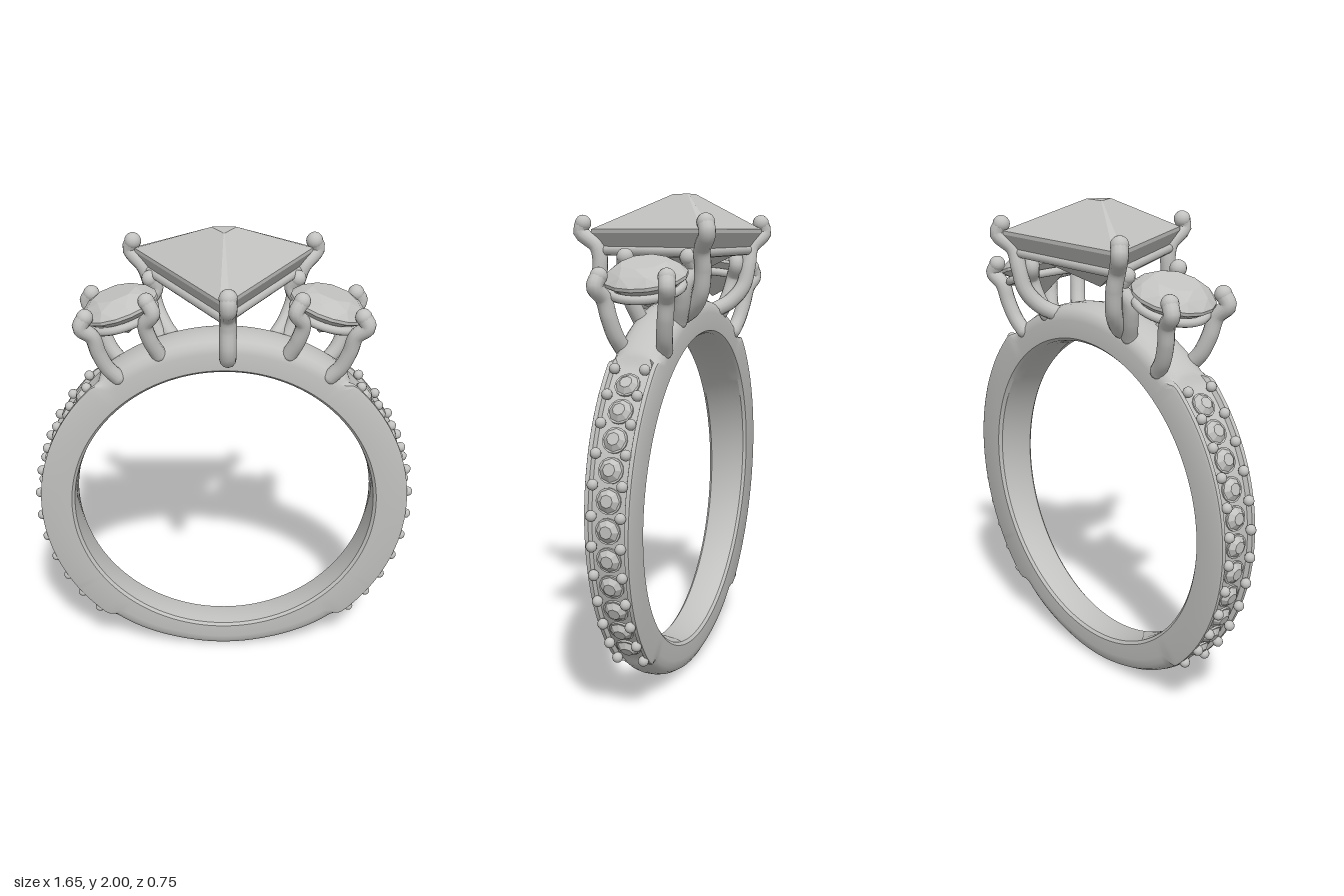
import * as THREE from 'three';
import { toCreasedNormals } from 'three/addons/utils/BufferGeometryUtils.js';
import { ConvexGeometry } from 'three/addons/geometries/ConvexGeometry.js';

const metal = new THREE.MeshStandardMaterial({ color: 0xc2c2c0 });
metal.name = 'silver grey';

const CY = 0.785, CZ = -0.105; // centre of the band
const V = (x, y, z) => new THREE.Vector3(x, y, z);
const lerp = THREE.MathUtils.lerp;
const smooth = THREE.MathUtils.smoothstep;

function add(parent, name, geo) {
  const mesh = new THREE.Mesh(geo, metal);
  mesh.name = name;
  parent.add(mesh);
  return mesh;
}

// Bent round wire with a rounded tip at its first point
function prong(parent, name, pts, r) {
  const group = new THREE.Group();
  group.name = name;
  const curve = new THREE.CatmullRomCurve3(pts.map((p) => V(...p)), false, 'centripetal');
  add(group, 'prongWire', new THREE.TubeGeometry(curve, 32, r, 12));
  add(group, 'prongTip', new THREE.SphereGeometry(r * 1.06, 14, 10)).position.set(...pts[0]);
  add(group, 'prongFoot', new THREE.SphereGeometry(r, 12, 8)).position.set(...pts[pts.length - 1]);
  parent.add(group);
}

// Band: a cross-section swept round, channelled at the sides, domed at top and bottom
function bandGeometry() {
  const inner = [[0.664, -1], [0.652, -0.86], [0.647, -0.4], [0.647, 0.4], [0.652, 0.86], [0.664, 1]];
  const channel = [[0.788, 1], [0.798, 0.95], [0.798, 0.78], [0.78, 0.7], [0.78, 0.3]];
  const dome = [[0.735, 1], [0.762, 0.94], [0.781, 0.78], [0.793, 0.5], [0.798, 0.2]];
  const N = 240, pos = [], idx = [];
  const flip = (a) => a.map(([r, z]) => [r, -z]).reverse();
  const A = [...inner, ...channel, ...flip(channel)];
  const B = [...inner, ...dome, ...flip(dome)];
  const M = A.length;
  for (let j = 0; j < N; j++) {
    const t = (j / N) * Math.PI * 2, s = Math.sin(t);
    const lat = Math.asin(Math.min(1, Math.abs(s))) * 180 / Math.PI;
    const k = smooth(lat, 47, 51);
    const w = 0.09 + 0.017 * s;
    const thin = s < 0 ? -0.012 * smooth(lat, 50, 80) : 0.002 * k;
    for (let i = 0; i < M; i++) {
      const r = lerp(A[i][0], B[i][0], k) + (i >= inner.length ? thin : 0);
      pos.push(r * Math.cos(t), CY + r * s, CZ + w * lerp(A[i][1], B[i][1], k));
      const n = ((j + 1) % N) * M, i2 = (i + 1) % M, a = j * M;
      idx.push(a + i, a + i2, n + i, a + i2, n + i2, n + i);
    }
  }
  const g = new THREE.BufferGeometry();
  g.setAttribute('position', new THREE.Float32BufferAttribute(pos, 3));
  g.setIndex(idx);
  return toCreasedNormals(g, 0.6);
}

// Ring of n points at radius r and height y
function ringPoints(n, r, y, turn = 0) {
  return Array.from({ length: n }, (_, i) => {
    const a = ((i + turn) / n) * Math.PI * 2;
    return V(r * Math.cos(a), y, r * Math.sin(a));
  });
}

// Round brilliant: table, star ring, girdle and point
function roundGem(r) {
  return new ConvexGeometry([
    ...ringPoints(8, r * 0.56, r * 0.36),
    ...ringPoints(8, r * 0.82, r * 0.23, 0.5),
    ...ringPoints(16, r, r * 0.04),
    ...ringPoints(16, r, -r * 0.04),
    V(0, -r * 0.75, 0),
  ]);
}

// Triangle with clipped corners: inradius d, one corner toward +z
function triPoints(d, y, cut) {
  const out = [];
  for (let i = 0; i < 3; i++) {
    const a = Math.PI / 2 + (i * Math.PI * 2) / 3;
    const R = 2 * d - cut, h = cut * Math.tan(Math.PI / 6);
    for (const s of [-1, 1]) {
      out.push(V(R * Math.cos(a) - s * h * Math.sin(a), y, R * Math.sin(a) + s * h * Math.cos(a)));
    }
  }
  return out;
}

// Accent stones and beads down one side of the band
function pave(parent, side) {
  const group = new THREE.Group();
  group.name = side > 0 ? 'leftPave' : 'rightPave';
  const stone = new THREE.CylinderGeometry(0.024, 0.046, 0.02, 8).toNonIndexed();
  stone.computeVertexNormals();
  const bead = new THREE.SphereGeometry(0.021, 12, 8);
  const step = THREE.MathUtils.degToRad(8.1);
  const start = THREE.MathUtils.degToRad(-44.2);
  for (let i = 0; i < 12; i++) {
    const t = start + i * step;
    for (const z of [-1, 1]) {
      const off = z * (0.057 + 0.004 * Math.sin(t));
      add(group, 'bead', bead).position.set(side * 0.804 * Math.cos(t), CY + 0.804 * Math.sin(t), CZ + off);
    }
    if (i === 11) continue;
    const u = t + step / 2;
    const gem = add(group, 'accentStone', stone);
    gem.position.set(side * 0.794 * Math.cos(u), CY + 0.794 * Math.sin(u), CZ);
    gem.rotation.z = side * (u - Math.PI / 2);
    const seat = add(group, 'accentSeat', new THREE.CylinderGeometry(0.049, 0.049, 0.012, 16));
    seat.position.set(side * 0.78 * Math.cos(u), CY + 0.78 * Math.sin(u), CZ);
    seat.rotation.z = gem.rotation.z;
  }
  parent.add(group);
}

// Tilted round stone with its rail and four prongs
function sideSetting(parent, side) {
  const group = new THREE.Group();
  group.name = side > 0 ? 'leftSetting' : 'rightSetting';
  const head = new THREE.Group();
  head.name = 'tiltedHead';
  head.position.set(side * 0.424, 1.685, -0.11);
  head.rotation.z = -side * 0.29;
  add(head, 'sideStone', roundGem(0.163));
  const rail = add(head, 'sideRail', new THREE.TorusGeometry(0.138, 0.017, 10, 40));
  rail.rotation.x = Math.PI / 2;
  rail.position.y = -0.045;
  group.add(head);
  for (const z of [-1, 1]) {
    const q = (x, y, d) => [side * x, y, -0.108 + z * d];
    prong(group, 'outerProng', [q(0.548, 1.69, 0.134), q(0.568, 1.65, 0.142), q(0.525, 1.605, 0.125),
      q(0.505, 1.53, 0.112), q(0.475, 1.46, 0.098), q(0.435, 1.41, 0.085)], 0.032);
    prong(group, 'innerProng', [q(0.305, 1.755, 0.13), q(0.282, 1.71, 0.142), q(0.312, 1.655, 0.122),
      q(0.296, 1.58, 0.105), q(0.265, 1.51, 0.082)], 0.032);
  }
  parent.add(group);
}

export function createModel() {
  const ring = new THREE.Group();
  ring.name = 'ring';
  add(ring, 'band', bandGeometry());

  for (const side of [-1, 1]) {
    pave(ring, side);
    sideSetting(ring, side);
  }

  // Large triangular stone
  const centre = new THREE.Group();
  centre.name = 'centreSetting';
  const stone = add(centre, 'centreStone', new ConvexGeometry([
    ...triPoints(0.029, 2.0, 0.004),
    ...triPoints(0.222, 1.86, 0.03),
    ...triPoints(0.222, 1.845, 0.03),
    ...triPoints(0.188, 1.785, 0.025),
    V(0, 1.655, 0),
  ]));
  stone.position.z = -0.118;

  // Triangular wire under the stone
  const corners = [V(0, 1.772, 0.25), V(0.315, 1.772, -0.295), V(-0.315, 1.772, -0.295)];
  corners.forEach((c, i) => {
    add(centre, 'galleryWire', new THREE.TubeGeometry(new THREE.LineCurve3(c, corners[(i + 1) % 3]), 1, 0.02, 12));
  });

  // Three long prongs
  prong(centre, 'frontProng', [[0.012, 1.885, 0.335], [0.012, 1.85, 0.346], [0.012, 1.79, 0.272],
    [0.012, 1.74, 0.258], [0.012, 1.65, 0.258], [0.012, 1.605, 0.235], [0.012, 1.58, 0.14], [0.012, 1.55, -0.03]], 0.033);
  for (const s of [-1, 1]) {
    prong(centre, 'backProng', [[s * 0.375, 1.885, -0.33], [s * 0.388, 1.845, -0.341], [s * 0.33, 1.785, -0.302],
      [s * 0.305, 1.71, -0.298], [s * 0.285, 1.62, -0.282], [s * 0.25, 1.555, -0.235], [s * 0.2, 1.51, -0.16]], 0.033);
  }
  ring.add(centre);
  return ring;
}
